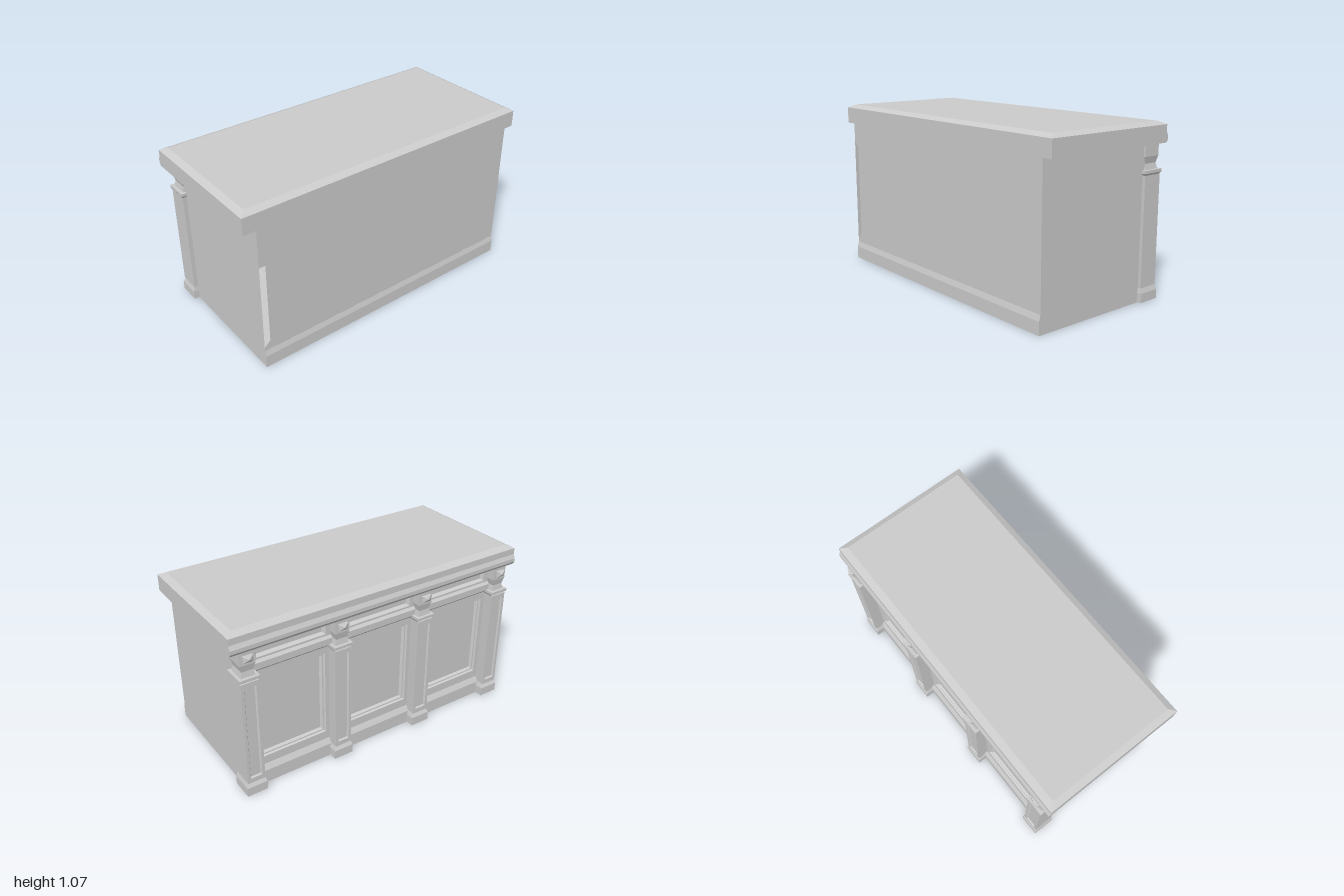
import * as THREE from 'three';

const grey = new THREE.MeshStandardMaterial({ color: 0xcccccc, flatShading: true });
const sheet = new THREE.MeshStandardMaterial({ color: 0xcccccc, flatShading: true, side: THREE.DoubleSide });

// Solid through a stack of rectangles, each [y, x0, x1, z0, z1], with end caps.
function loft(name, rows) {
  const rings = rows.map(([y, x0, x1, z0, z1]) => [[x0, y, z1], [x1, y, z1], [x1, y, z0], [x0, y, z0]]);
  const pos = [];
  const quad = (a, b, c, d) => pos.push(...a, ...b, ...c, ...a, ...c, ...d);
  for (let r = 0; r < rings.length - 1; r++) {
    for (let i = 0; i < 4; i++) {
      const j = (i + 1) % 4;
      quad(rings[r][i], rings[r][j], rings[r + 1][j], rings[r + 1][i]);
    }
  }
  const [a, b, c, d] = rings[0];
  quad(d, c, b, a);
  quad(...rings[rings.length - 1]);
  const geo = new THREE.BufferGeometry();
  geo.setAttribute('position', new THREE.Float32BufferAttribute(pos, 3));
  geo.computeVertexNormals();
  const mesh = new THREE.Mesh(geo, grey);
  mesh.name = name;
  return mesh;
}

// Stepped relief facing the back; rows are [distance behind centre, half width, half height].
function relief(name, cx, cy, rows) {
  const mesh = loft(name, rows.map(([d, hx, hy]) => [d, -hx, hx, -hy, hy]));
  mesh.rotation.x = -Math.PI / 2;
  mesh.position.set(cx, cy, 0);
  return mesh;
}

function wall(name, w, h, x, y, z, rx, ry) {
  const mesh = new THREE.Mesh(new THREE.PlaneGeometry(w, h), sheet);
  mesh.name = name;
  mesh.position.set(x, y, z);
  mesh.rotation.set(rx, ry, 0);
  return mesh;
}

function createColumn(cx) {
  const column = new THREE.Group();
  column.name = 'column';
  // half width, front z and back z at each height
  const rows = [
    [0.004, 0.065, -0.32, -0.46], [0.06, 0.065, -0.32, -0.46], [0.09, 0.055, -0.325, -0.443],
    [0.76, 0.055, -0.325, -0.443], [0.772, 0.062, -0.318, -0.461], [0.79, 0.062, -0.318, -0.461],
    [0.79, 0.044, -0.336, -0.442], [0.825, 0.036, -0.344, -0.436],
    [0.867, 0.047, -0.33, -0.445], [0.95, 0.047, -0.33, -0.445],
  ];
  column.add(loft('columnShaft', rows.map(([y, h, zf, zb]) => [y, -h, h, zb, zf])));
  column.add(relief('columnPanel', 0, 0.425, [
    [0.43, 0.055, 0.336], [0.455, 0.055, 0.336], [0.455, 0.037, 0.305], [0.445, 0.031, 0.299],
  ]));
  column.add(relief('columnStud', 0, 0.907, [
    [0.44, 0.03, 0.02], [0.457, 0.03, 0.02], [0.47, 0.004, 0.003],
  ]));
  column.position.x = cx;
  return column;
}

function createBay(cx) {
  const bay = new THREE.Group();
  bay.name = 'backBay';
  // large framed panel
  bay.add(relief('bayPanel', 0, 0.45, [
    [0.33, 0.26, 0.335], [0.385, 0.26, 0.335], [0.385, 0.218, 0.275],
    [0.373, 0.212, 0.269], [0.373, 0.204, 0.261], [0.358, 0.194, 0.251],
  ]));
  // moulded rail above it
  bay.add(loft('bayRail', [
    [0.77, -0.26, 0.26, -0.388, -0.33], [0.785, -0.26, 0.26, -0.402, -0.33],
    [0.825, -0.26, 0.26, -0.402, -0.33], [0.84, -0.26, 0.26, -0.388, -0.33],
  ]));
  // shallow frieze panel
  bay.add(relief('friezePanel', 0, 0.892, [
    [0.33, 0.26, 0.056], [0.388, 0.26, 0.056], [0.388, 0.222, 0.04], [0.368, 0.21, 0.028],
  ]));
  bay.position.x = cx;
  return bay;
}

export function createModel() {
  const model = new THREE.Group();
  model.name = 'counter';
  const xr = -0.92, xl = 0.935, top = 0.945, zf = 0.46, zb = -0.35;
  const w = xl - xr, d = zf - zb, mx = (xl + xr) / 2, mz = (zf + zb) / 2;

  // Worktop with chamfered top and moulded back edge
  model.add(loft('worktop', [
    [top, -1, 1, -0.445, zf], [0.962, -1, 1, -0.456, zf], [0.985, -1, 1, -0.456, zf],
    [1.01, -1, 1, -0.444, zf], [1.05, -1, 1, -0.444, zf], [1.07, -0.96, 0.96, -0.4, 0.42],
  ]));

  // Front sheet with a notch along one edge
  const outline = new THREE.Shape([
    [xr, 0], [xl, 0], [xl, top], [xr, top], [xr, 0.82], [-0.88, 0.785], [-0.88, 0.18], [xr, 0.14],
  ].map(([x, y]) => new THREE.Vector2(x, y)));
  const front = new THREE.Mesh(new THREE.ShapeGeometry(outline), sheet);
  front.name = 'frontPanel';
  front.position.z = zf;
  model.add(front);

  // Remaining body walls
  model.add(wall('leftSide', d, top, xl, top / 2, mz, 0, Math.PI / 2));
  model.add(wall('rightSide', d, top, xr, top / 2, mz, 0, -Math.PI / 2));
  model.add(wall('backWall', w, top, mx, top / 2, zb, 0, Math.PI));
  model.add(wall('floor', w, zf + 0.4, mx, 0.001, (zf - 0.4) / 2, Math.PI / 2, 0));

  // Skirtings
  model.add(loft('frontSkirting', [
    [0, xr, xl, 0.455, 0.47], [0.08, xr, xl, 0.455, 0.47], [0.115, xr, xl, 0.455, 0.4605],
  ]));
  model.add(loft('backSkirting', [
    [0, -0.89, 0.9, -0.405, -0.34], [0.085, -0.89, 0.9, -0.405, -0.34], [0.12, -0.89, 0.9, -0.386, -0.34],
  ]));

  // Columns and the bays between them
  const columns = [-0.89, -0.29, 0.305, 0.9];
  columns.forEach((x, i) => {
    model.add(createColumn(x));
    if (i) model.add(createBay((x + columns[i - 1]) / 2));
  });
  return model;
}
